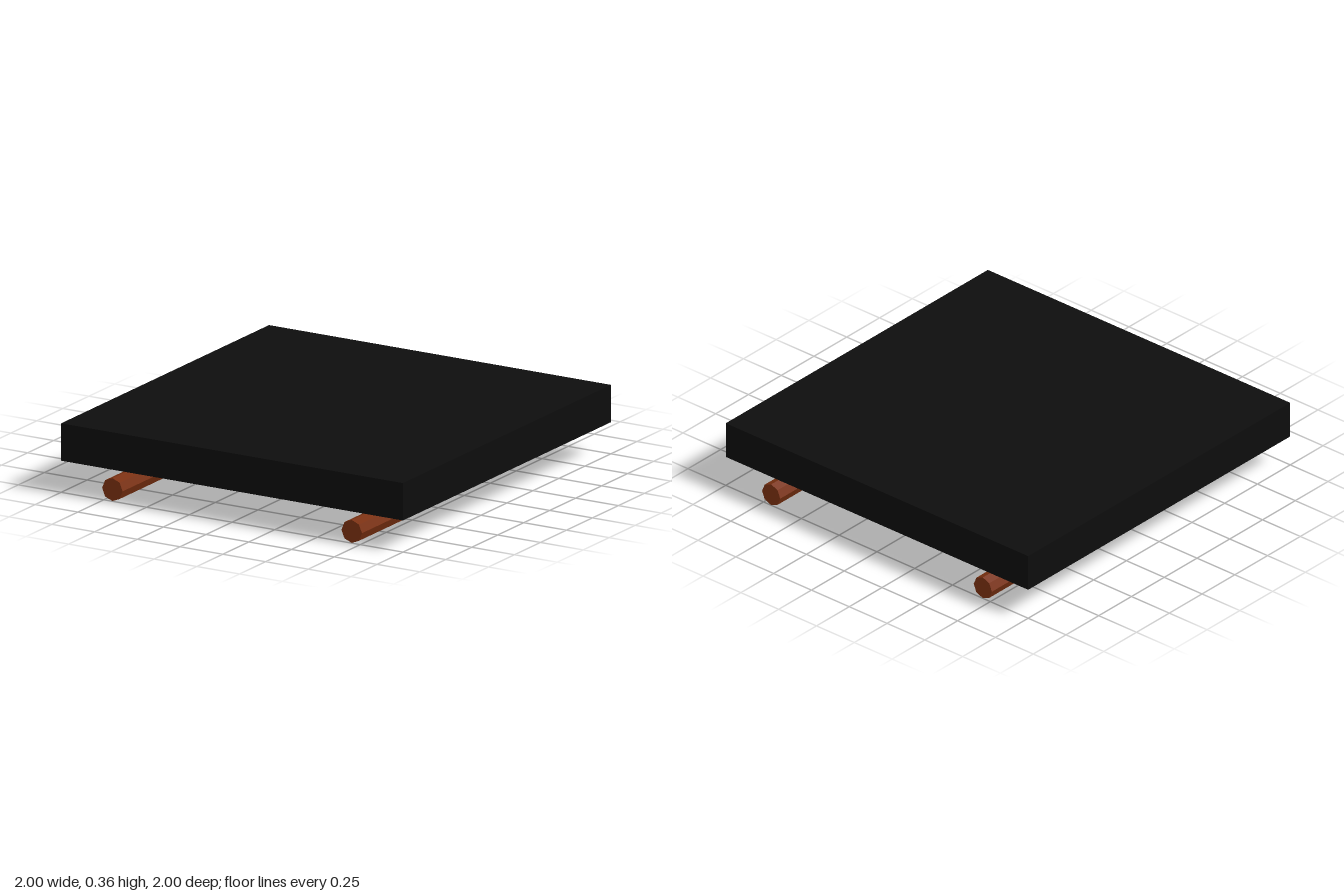
import * as THREE from 'three';

export function createModel() {
  const model = new THREE.Group();
  const mat = (name, color) => {
    const m = new THREE.MeshStandardMaterial({ color, flatShading: true });
    m.name = name;
    return m;
  };
  const black = mat('black panel', 0x0d0d0d);
  const iron = mat('dark iron', 0x0b0b0c);
  const rust = mat('rusty copper', 0x7a3010);
  const amber = mat('amber glass', 0xd9a04a);

  const add = (parent, name, geometry, material, x, y, z) => {
    const mesh = new THREE.Mesh(geometry, material);
    mesh.name = name;
    mesh.position.set(x, y, z);
    parent.add(mesh);
    return mesh;
  };

  // Ceiling slab
  add(model, 'ceilingSlab', new THREE.BoxGeometry(2, 0.195, 2), black, 0, 0.2645, 0);

  // Two eight-sided pipes, each hung from two brackets
  const pipe = new THREE.CylinderGeometry(0.06, 0.06, 2, 8).rotateX(Math.PI / 2);
  const bracket = new THREE.BoxGeometry(0.136, 0.07, 0.045);
  for (const side of [-1, 1]) {
    const run = new THREE.Group();
    run.name = side > 0 ? 'leftPipeRun' : 'rightPipeRun';
    add(run, 'pipe', pipe, rust, side * 0.7, 0.063, 0);
    for (const z of [-0.5, 0.5]) add(run, 'bracket', bracket, iron, side * 0.7, 0.134, z);
    model.add(run);
  }

  // Caged lamp: mounting plate, faceted bulb, four bars and a bottom disc
  const lamp = new THREE.Group();
  lamp.name = 'lamp';
  add(lamp, 'mountingPlate', new THREE.BoxGeometry(0.32, 0.022, 0.32), iron, 0, 0.157, 0);
  const profile = [[0, 0.002], [0.03, 0.01], [0.055, 0.032], [0.07, 0.065], [0.07, 0.122], [0.058, 0.147]];
  const bulb = new THREE.LatheGeometry(profile.map(([r, y]) => new THREE.Vector2(r, y)), 8, Math.PI / 8);
  add(lamp, 'bulb', bulb, amber, 0, 0, 0);
  const bar = new THREE.CylinderGeometry(0.006, 0.006, 0.13, 6);
  for (const x of [-0.07, 0.07]) {
    for (const z of [-0.07, 0.07]) add(lamp, 'cageBar', bar, iron, x, 0.083, z);
  }
  add(lamp, 'cageDisc', new THREE.CylinderGeometry(0.1, 0.1, 0.012, 16), iron, 0, 0.018, 0);
  model.add(lamp);

  return model;
}
